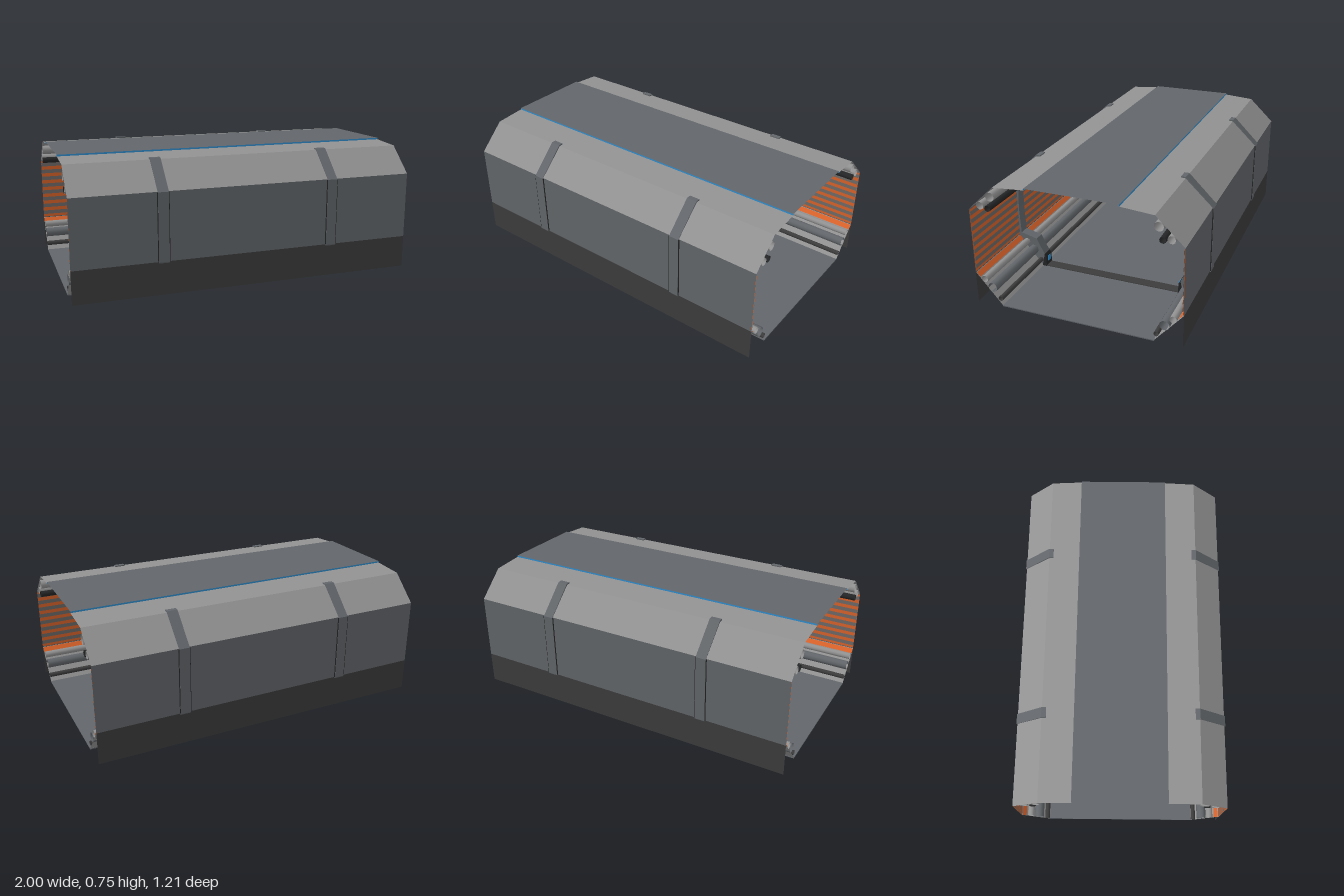
import * as THREE from 'three';

const mat = (name, color) => {
  const m = new THREE.MeshStandardMaterial({ color, side: THREE.DoubleSide });
  m.name = name;
  return m;
};

export function createModel() {
  const M = {
    hull: mat('hull grey', 0x62666a),
    light: mat('light grey', 0x929292),
    dark: mat('charcoal', 0x3c3c3c),
    black: mat('black', 0x242526),
    orange: mat('orange', 0xd9622a),
    blue: mat('blue', 0x2f8fd0),
    slat: mat('slat grey', 0x6e6a68),
  };
  const root = new THREE.Group();
  root.name = 'corridorSection';

  const add = (parent, name, geo, m, x = 0, y = 0, z = 0) => {
    const mesh = new THREE.Mesh(geo, m);
    mesh.name = name;
    mesh.position.set(x, y, z);
    parent.add(mesh);
    return mesh;
  };
  const box = (parent, name, m, w, h, d, x, y, z) =>
    add(parent, name, new THREE.BoxGeometry(w, h, d), m, x, y, z);

  // Sheet running the full length between two (z, y) section points
  const panel = (parent, name, m, [z1, y1], [z2, y2]) => {
    const geo = new THREE.PlaneGeometry(2, Math.hypot(z2 - z1, y2 - y1));
    geo.rotateX(Math.atan2(z2 - z1, y2 - y1));
    return add(parent, name, geo, m, 0, (y1 + y2) / 2, (z1 + z2) / 2);
  };

  // Open-ended pipe along the length
  const pipe = (parent, name, m, z, y, r) => {
    const geo = new THREE.CylinderGeometry(r, r, 2, 10, 1, true);
    geo.rotateZ(Math.PI / 2);
    add(parent, name, geo, m, 0, y, z);
  };

  // Section outline (z, y) extruded along the length, centred on x
  const section = (parent, name, m, pts, width, x) => {
    const shape = new THREE.Shape(pts.map(([z, y]) => new THREE.Vector2(z, y)));
    const geo = new THREE.ExtrudeGeometry(shape, { depth: width, bevelEnabled: false });
    geo.rotateY(-Math.PI / 2);
    geo.translate(width / 2, 0, 0);
    add(parent, name, geo, m, x, 0, 0);
  };

  const ribOutline = [
    [0.42, 0.73], [0.447, 0.73], [0.606, 0.573], [0.606, 0.188], [0.448, 0.003],
    [0.422, 0.003], [0.422, 0.07], [0.48, 0.185], [0.58, 0.21], [0.587, 0.37],
    [0.58, 0.52], [0.49, 0.555], [0.426, 0.64],
  ];
  const upperClip = [[0.487, 0.6], [0.46, 0.632], [0.455, 0.62], [0.478, 0.545], [0.49, 0.555]];
  const lowerClip = [[0.45, 0.003], [0.42, 0.003], [0.42, 0.07], [0.43, 0.09]];

  const buildSide = (name) => {
    const g = new THREE.Group();
    g.name = name;

    // Outer skin
    panel(g, 'roofShoulder', M.light, [0.26, 0.736], [0.445, 0.722]);
    panel(g, 'upperSlope', M.light, [0.445, 0.722], [0.6, 0.575]);
    panel(g, 'wall', M.hull, [0.6, 0.575], [0.6, 0.19]);
    panel(g, 'skirt', M.dark, [0.6, 0.19], [0.6, 0.003]);
    panel(g, 'lowerSlope', M.light, [0.598, 0.19], [0.44, 0.006]);
    panel(g, 'roofLightStrip', M.blue, [0.262, 0.734], [0.262, 0.745]);

    // Inner lining with horizontal slats
    panel(g, 'wallLining', M.orange, [0.597, 0.57], [0.597, 0.195]);
    for (let i = 0; i < 8; i++) {
      const y = 0.225 + i * 0.046;
      panel(g, 'wallSlat', M.slat, [0.593, y - 0.012], [0.593, y + 0.012]);
    }
    panel(g, 'orangeTrim', M.orange, [0.592, 0.19], [0.572, 0.166]);

    // Service pipes
    pipe(g, 'lowerPipe', M.light, 0.545, 0.157, 0.02);
    pipe(g, 'lowerPipe', M.hull, 0.5, 0.112, 0.028);
    pipe(g, 'lowerCable', M.dark, 0.455, 0.05, 0.014);
    pipe(g, 'upperPipe', M.light, 0.53, 0.605, 0.022);
    pipe(g, 'upperPipe', M.light, 0.465, 0.665, 0.026);
    pipe(g, 'upperCable', M.black, 0.485, 0.595, 0.018);

    // Frames with clips and marker lamps
    for (const x of [-0.5, 0.5]) {
      section(g, 'rib', M.hull, ribOutline, 0.06, x);
      section(g, 'upperClip', M.black, upperClip, 0.07, x);
      section(g, 'lowerClip', M.black, lowerClip, 0.066, x);
      box(g, 'markerLamp', M.blue, 0.03, 0.03, 0.006, x, 0.055, 0.419);
      // Seams beside the rib on the outer wall
      for (const s of [-1, 1]) {
        box(g, 'ribSeam', M.black, 0.005, 0.38, 0.006, x + s * 0.031, 0.382, 0.602);
      }
    }
    root.add(g);
    return g;
  };

  buildSide('frontSide');
  buildSide('backSide').rotation.y = Math.PI;

  // Roof centre and floor
  panel(root, 'roofCentre', M.hull, [-0.262, 0.745], [0.262, 0.745]);
  box(root, 'floor', M.hull, 2, 0.006, 0.89, 0, 0.007, 0);
  for (const x of [-0.5, 0.5]) {
    box(root, 'floorCrossStrip', M.dark, 0.06, 0.008, 0.86, x, 0.01, 0);
  }

  // Hatch outline under the floor
  for (const s of [-1, 1]) {
    box(root, 'hatchSeam', M.black, 0.38, 0.004, 0.005, 0, 0.002, s * 0.21);
    box(root, 'hatchSeam', M.black, 0.005, 0.004, 0.42, s * 0.19, 0.002, 0);
  }
  return root;
}
